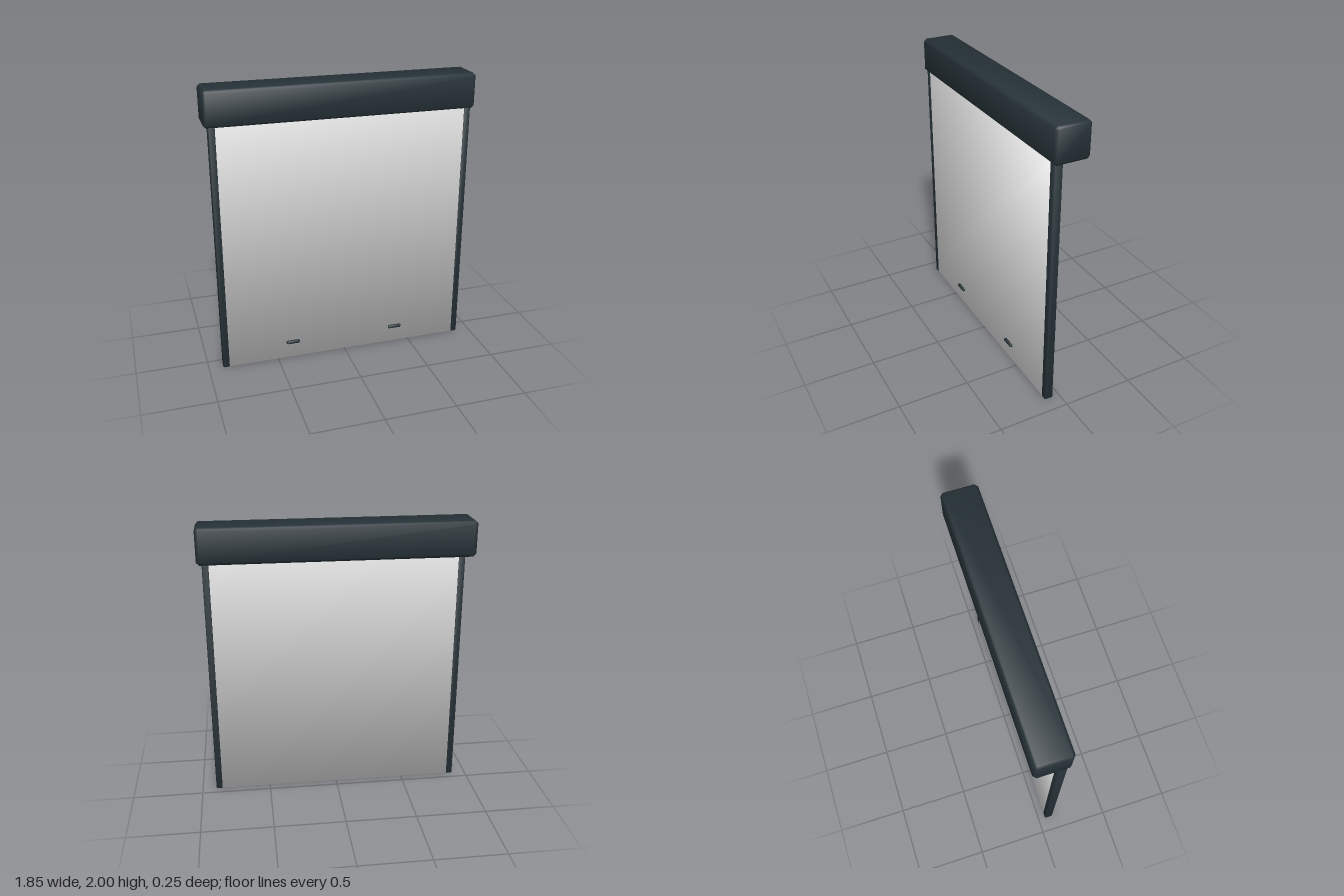
import * as THREE from 'three';

// Box with chamfered edges and soft, shared corner normals; c = 0 gives a plain soft box.
function softBox(w, h, d, c) {
  const seg = c > 0 ? 3 : 1;
  const geo = new THREE.BoxGeometry(1, 1, 1, seg, seg, seg);
  const pos = geo.attributes.position;
  const nor = geo.attributes.normal;
  const half = [w / 2, h / 2, d / 2];
  const inset = [0, 0, c / 2, c * 2 / 3];
  for (let i = 0; i < pos.count; i++) {
    const p = [pos.getX(i), pos.getY(i), pos.getZ(i)];
    const outer = p.map((v) => Math.abs(v) > 0.4);
    const k = outer.filter(Boolean).length;
    const q = p.map((v, a) => Math.sign(v) * (half[a] - (outer[a] ? inset[k] : c)));
    pos.setXYZ(i, q[0], q[1], q[2]);
    const n = new THREE.Vector3(...p).normalize();
    nor.setXYZ(i, n.x, n.y, n.z);
  }
  return geo;
}

export function createModel() {
  const model = new THREE.Group();
  model.name = 'rollerShutter';

  const frameDark = new THREE.MeshStandardMaterial({ color: 0x263238 });
  frameDark.name = 'dark slate frame';
  const panelGrey = new THREE.MeshStandardMaterial({ color: 0xe0e0e0 });
  panelGrey.name = 'light grey panel';

  // Places a box by its minimum and maximum corners
  const add = (name, min, max, c, material) => {
    const size = max.map((v, a) => v - min[a]);
    const mesh = new THREE.Mesh(softBox(size[0], size[1], size[2], c), material);
    mesh.position.set(...max.map((v, a) => (v + min[a]) / 2));
    mesh.name = name;
    model.add(mesh);
  };

  // Roller housing across the top
  add('housing', [-0.927, 1.755, -0.123], [0.927, 2, 0.123], 0.02, frameDark);

  // Flat curtain between the rails
  add('curtain', [-0.857, 0.004, 0.053], [0.857, 1.77, 0.107], 0, panelGrey);

  // Guide rails and lift handles, mirrored left and right
  for (const [side, s] of [['left', 1], ['right', -1]]) {
    const x = s * 0.876;
    add(side + 'Rail', [x - 0.024, 0, 0.05], [x + 0.024, 1.77, 0.11], 0.006, frameDark);
    const hx = s * 0.388;
    add(side + 'Handle', [hx - 0.049, 0.116, 0.102], [hx + 0.049, 0.14, 0.126], 0.007, frameDark);
  }

  return model;
}
